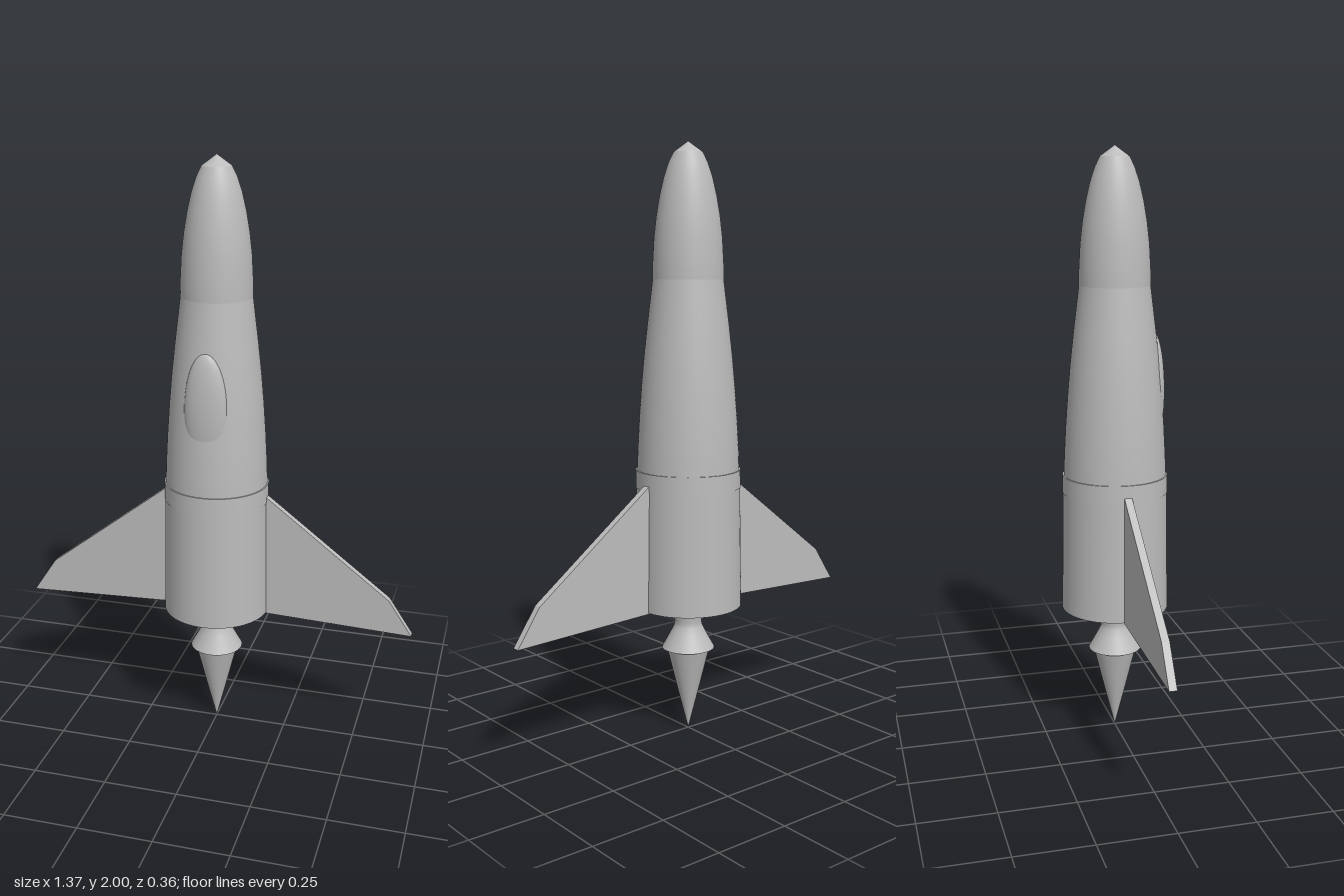
import * as THREE from 'three';

export function createModel() {
  const root = new THREE.Group();
  const hull = new THREE.MeshStandardMaterial({ color: 0xbcbcbc });
  hull.name = 'hull grey';
  hull.side = THREE.DoubleSide;

  const add = (name, geometry) => {
    const mesh = new THREE.Mesh(geometry, hull);
    mesh.name = name;
    root.add(mesh);
    return mesh;
  };
  // Turned parts: [radius, height] from bottom to top
  const lathe = (name, profile) =>
    add(name, new THREE.LatheGeometry(profile.map(([r, y]) => new THREE.Vector2(r, y)), 64));

  // Fuselage
  lathe('noseCone', [[0.118, 1.55], [0.118, 1.6], [0.113, 1.69], [0.105, 1.76], [0.094, 1.825],
    [0.08, 1.885], [0.064, 1.933], [0.048, 1.965]]);
  lathe('noseTip', [[0.048, 1.965], [0, 2]]);
  lathe('upperBody', [[0.173, 0.9], [0.171, 0.98], [0.165, 1.09], [0.157, 1.2], [0.148, 1.3],
    [0.137, 1.4], [0.118, 1.555]]);
  add('collarRing', new THREE.CylinderGeometry(0.177, 0.178, 0.06, 64)).position.y = 0.89;
  add('lowerBody', new THREE.CylinderGeometry(0.176, 0.182, 0.41, 64)).position.y = 0.655;

  // Engine
  lathe('nozzle', [[0.09, 0.295], [0.076, 0.32], [0.06, 0.35], [0.049, 0.372], [0.046, 0.388],
    [0.05, 0.415], [0.056, 0.45]]);
  lathe('nozzleRim', [[0.06, 0.293], [0.09, 0.295]]);
  lathe('exhaustCone', [[0, 0], [0.037, 0.146], [0.073, 0.292]]);
  lathe('exhaustCap', [[0.073, 0.292], [0, 0.293]]);

  // Canopy: a flattened half ellipsoid set into the front
  const canopy = add('canopy', new THREE.SphereGeometry(1, 40, 28, 0, Math.PI));
  canopy.scale.set(0.072, 0.198, 0.034);
  canopy.position.set(0, 1.2, 0.133);

  // Swept wings, one on each side
  const thickness = 0.026;
  for (const [name, side] of [['leftWing', 1], ['rightWing', -1]]) {
    const outline = [[0.165, 0.888], [0.605, 0.55], [0.687, 0.427], [0.165, 0.447]];
    const shape = new THREE.Shape(outline.map(([x, y]) => new THREE.Vector2(side * x, y)));
    add(name, new THREE.ExtrudeGeometry(shape, { depth: thickness, bevelEnabled: false }))
      .position.z = -thickness / 2;
  }

  return root;
}
